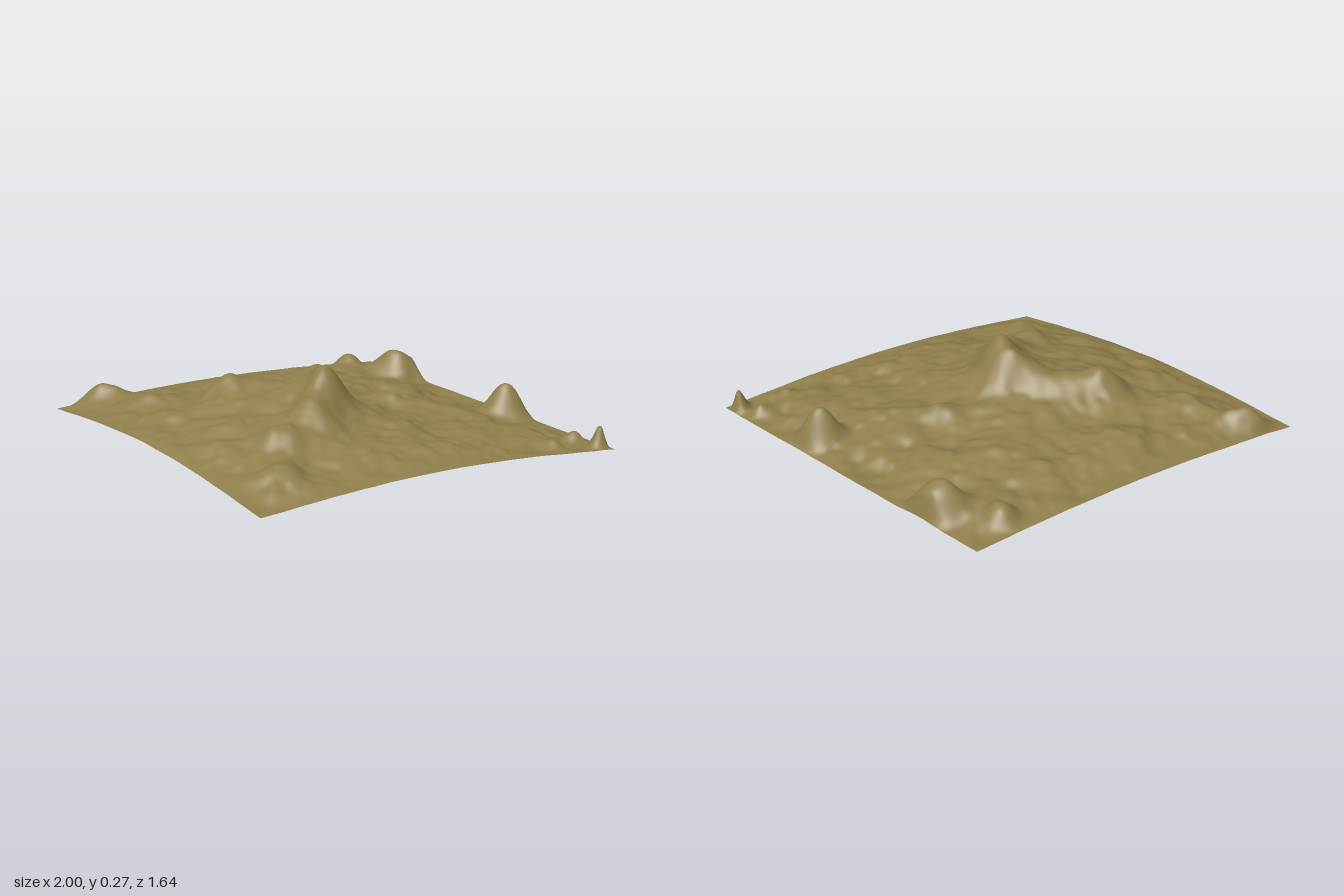
import * as THREE from 'three';

// Diamond corners of the sheet: [x, y, z]
const FRONT = [-0.01, 0, 0.82], RIGHT = [1, 0, -0.025];
const LEFT = [-1, 0.012, 0.02], BACK = [0, 0.015, -0.825];

// Hills: x, z, height, radius x, radius z, steepness
const HILLS = [
  [-0.13, 0.16, 0.06, 0.3, 0.28, 1],      // broad mountain foot
  [0.028, 0.11, 0.135, 0.075, 0.12, 1],   // summit
  [-0.03, 0.04, 0.045, 0.05, 0.035, 1],   // second summit
  [-0.09, 0.07, 0.04, 0.06, 0.06, 1],     // west shoulder
  [-0.2, 0.01, 0.045, 0.17, 0.05, 1.2],   // west ridge
  [-0.22, 0.1, 0.025, 0.16, 0.07, 1],
  [-0.35, 0.05, 0.055, 0.07, 0.07, 1],
  [0.01, 0.28, 0.055, 0.07, 0.06, 1],     // south ridge
  [-0.06, 0.42, 0.035, 0.07, 0.06, 1.3],
  [0.15, -0.63, 0.095, 0.1, 0.065, 1.5],  // back knolls
  [-0.06, -0.67, 0.05, 0.05, 0.045, 1.3],
  [0.605, -0.235, 0.125, 0.07, 0.055, 1.2], // right knoll
  [-0.84, -0.03, 0.065, 0.08, 0.04, 1],   // left knoll
  [-0.65, 0.06, 0.025, 0.09, 0.06, 1],
  [0.945, -0.03, 0.078, 0.025, 0.025, 1], // right corner spikes
  [0.86, -0.06, 0.035, 0.03, 0.03, 1],
  [0.8, 0.05, 0.025, 0.03, 0.03, 1],
  [0.2, -0.13, 0.025, 0.06, 0.05, 1.3],   // small rises
  [0.12, -0.4, 0.018, 0.08, 0.05, 1],
  [0.45, -0.15, 0.018, 0.13, 0.09, 1],
  [-0.4, -0.23, 0.015, 0.22, 0.04, 1],
  [-0.55, 0.2, 0.015, 0.09, 0.05, 1],
  [-0.02, 0.62, 0.025, 0.08, 0.06, 1],
];

// Seeded smooth value noise in -1..1
function hash(i, j) {
  const h = Math.sin(i * 127.1 + j * 311.7 + 17.3) * 43758.5453;
  return (h - Math.floor(h)) * 2 - 1;
}
function noise(x, z) {
  const i = Math.floor(x), j = Math.floor(z);
  const ease = (t) => t * t * (3 - 2 * t);
  const fx = ease(x - i), fz = ease(z - j);
  const { lerp } = THREE.MathUtils;
  return lerp(lerp(hash(i, j), hash(i + 1, j), fx), lerp(hash(i, j + 1), hash(i + 1, j + 1), fx), fz);
}

// u runs front to right, v runs front to left
function corner(k, u, v) {
  return (1 - u) * (1 - v) * FRONT[k] + u * (1 - v) * RIGHT[k] + (1 - u) * v * LEFT[k] + u * v * BACK[k];
}

function height(x, z, u, v) {
  // Gently arched edges, blended across the sheet
  let y = corner(1, u, v);
  y += Math.sin(Math.PI * u) * (0.04 * (1 - v) + 0.03 * v);
  y += Math.sin(Math.PI * v) * 0.045 * (1 - u);
  // Raised plateau inside; relief fades out at the border
  const edge = Math.min(u, 1 - u, v, 1 - v);
  y += 0.024 * THREE.MathUtils.smoothstep(edge, 0, 0.2);
  const inner = THREE.MathUtils.smoothstep(edge, -0.015, 0.07);
  const rim = THREE.MathUtils.smoothstep(edge, -0.005, 0.02);
  let relief = 0;
  for (const [hx, hz, h, rx, rz, p] of HILLS) {
    const d = ((x - hx) / rx) ** 2 + ((z - hz) / rz) ** 2;
    if (d < 12) relief += h * Math.exp(-Math.pow(d, p));
  }
  const rough = 0.012 * noise(x * 7, z * 8) + 0.011 * noise(x * 13 + 5, z * 17) + 0.005 * noise(x * 27, z * 34 + 9);
  return Math.max(0, y + relief * rim + rough * inner);
}

export function createModel() {
  const earth = new THREE.MeshStandardMaterial({ color: 0x8f7e4b, side: THREE.DoubleSide });
  earth.name = 'olive earth';

  // Height sheet built row by row
  const N = 150, positions = [], index = [];
  for (let j = 0; j <= N; j++) {
    for (let i = 0; i <= N; i++) {
      const u = i / N, v = j / N;
      const x = corner(0, u, v), z = corner(2, u, v);
      positions.push(x, height(x, z, u, v), z);
      if (i < N && j < N) {
        const a = j * (N + 1) + i, b = a + 1, c = a + N + 1, d = c + 1;
        index.push(a, b, d, a, d, c);
      }
    }
  }
  const geometry = new THREE.BufferGeometry();
  geometry.setAttribute('position', new THREE.Float32BufferAttribute(positions, 3));
  geometry.setIndex(index);
  geometry.computeVertexNormals();

  const terrain = new THREE.Mesh(geometry, earth);
  terrain.name = 'terrain';
  const group = new THREE.Group();
  group.name = 'mountainLandscape';
  group.add(terrain);
  return group;
}
